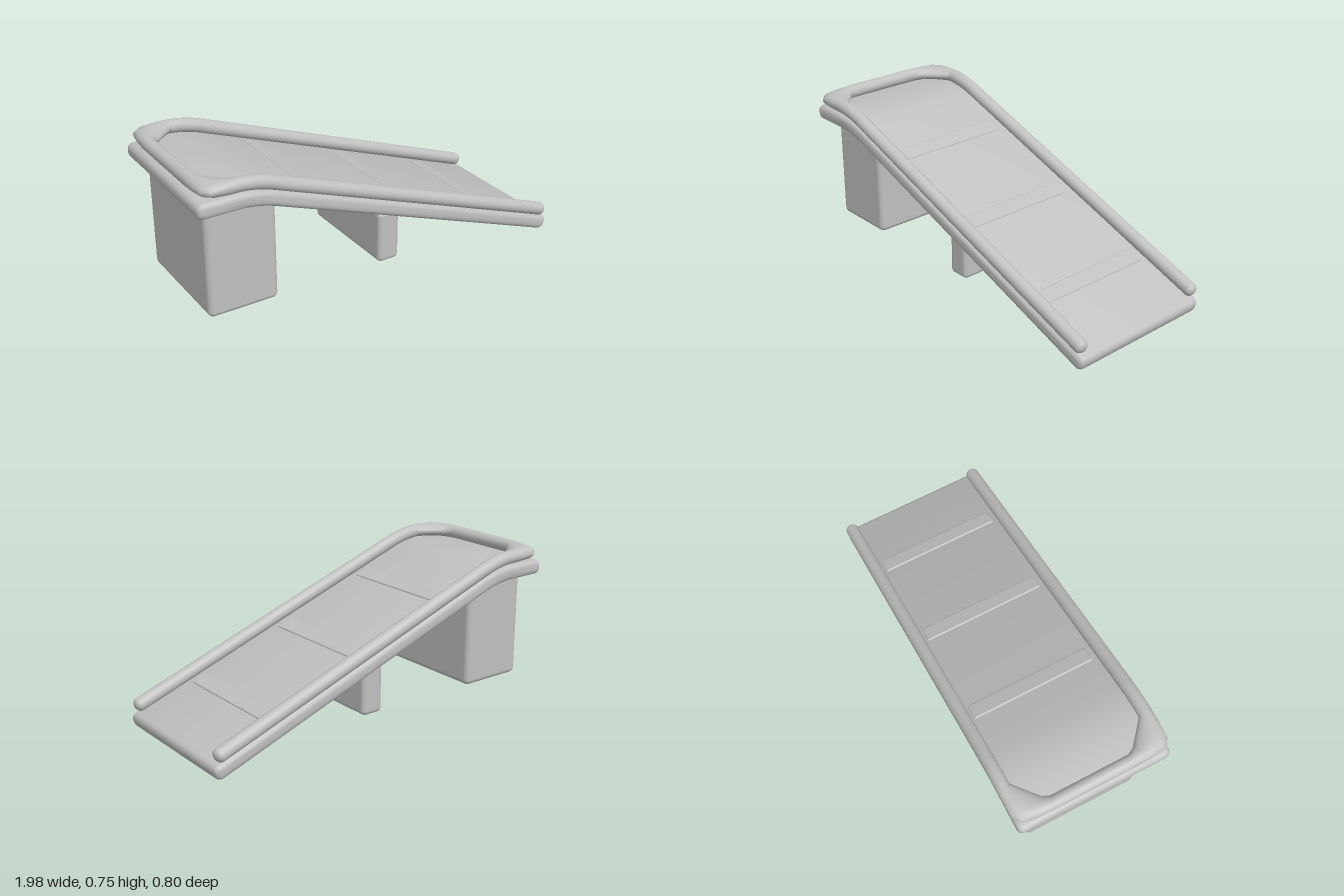
import * as THREE from 'three';
import { toCreasedNormals } from 'three/addons/utils/BufferGeometryUtils.js';
import { RoundedBoxGeometry } from 'three/addons/geometries/RoundedBoxGeometry.js';

const SLOPE = 0.364;
const TILT = Math.atan(SLOPE);

// Height of a level line that bends smoothly into the slope near x = bend
function bentY(x, level, bend, w = 0.1) {
  const d = x - bend;
  const run = d < -w ? 0 : d > w ? d : (d + w) ** 2 / (4 * w);
  return level - SLOPE * run;
}

// Direction square to the bent line, in the xy plane
function bentNormal(x, bend, w = 0.1) {
  const k = SLOPE * THREE.MathUtils.clamp((x - bend + w) / (2 * w), 0, 1);
  return new THREE.Vector2(k, 1).normalize();
}

// Bent slab with rounded edges, extruded across z
function deckGeometry() {
  const bevel = 0.025, r = 0.006, half = 0.0125, level = 0.6525, bend = -0.707;
  const pts = [];
  const corner = (x, side, start) => {
    const n = bentNormal(x, bend), o = side * (half - r);
    for (let i = 0; i <= 3; i++) {
      const a = start + (i / 3) * Math.PI / 2;
      pts.push(new THREE.Vector2(x + n.x * o + r * Math.cos(a), bentY(x, level, bend) + n.y * o + r * Math.sin(a)));
    }
  };
  const along = (side) => {
    for (let i = 0; i <= 10; i++) {
      const x = bend + side * -1 * (-0.11 + 0.022 * i);
      const n = bentNormal(x, bend), o = side * half;
      pts.push(new THREE.Vector2(x + n.x * o, bentY(x, level, bend) + n.y * o));
    }
  };
  const left = -0.969, right = 0.943, q = Math.PI / 2;
  corner(left, -1, 2 * q);
  along(-1);
  corner(right, -1, 3 * q - TILT);
  corner(right, 1, -TILT);
  along(1);
  corner(left, 1, q);
  const geo = new THREE.ExtrudeGeometry(new THREE.Shape(pts), {
    depth: 0.73, bevelEnabled: true, bevelSize: bevel, bevelThickness: bevel, bevelSegments: 4,
  });
  geo.translate(0, 0, -0.365);
  return toCreasedNormals(geo, 0.62);
}

// U-shaped rail swept through stations of [inner x, inner z, outer x, outer z, scale]
function railGeometry() {
  const level = 0.732, bend = -0.72, r = 0.034, sides = 20;
  const half = [];
  const straight = (x, s = 1) => half.push([x, 0.33, x, 0.398, s]);
  for (let i = 0; i <= 6; i++) {
    const a = (i / 6) * Math.PI / 2;
    straight(0.965 - 0.025 * (1 - Math.cos(a)), Math.max(Math.sin(a), 0.001));
  }
  for (let i = 0; i <= 10; i++) straight(bend + 0.11 - 0.018 * i);
  half.push(
    [-0.79, 0.33, -0.86, 0.398, 1],
    [-0.83, 0.297, -0.935, 0.395, 1],
    [-0.875, 0.258, -0.97, 0.365, 1],
    [-0.905, 0.23, -0.982, 0.29, 1],
    [-0.92, 0.2, -0.985, 0.2, 1],
  );
  const mirrored = half.map(([a, b, c, d, s]) => [a, -b, c, -d, s]).reverse();
  const stations = [...half, ...mirrored];
  const pos = [], idx = [];
  stations.forEach(([xi, zi, xo, zo, s], i) => {
    const x = (xi + xo) / 2, z = (zi + zo) / 2, n = bentNormal(x, bend);
    for (let j = 0; j < sides; j++) {
      const a = (j / sides) * Math.PI * 2;
      const c = Math.cos(a) * s, u = Math.sin(a) * s * r;
      pos.push(x + c * (xo - xi) / 2 + u * n.x, bentY(x, level, bend) + u * n.y, z + c * (zo - zi) / 2);
      if (i < stations.length - 1) {
        const k = (j + 1) % sides, p = i * sides, q = p + sides;
        idx.push(p + j, p + k, q + j, p + k, q + k, q + j);
      }
    }
  });
  const geo = new THREE.BufferGeometry();
  geo.setAttribute('position', new THREE.Float32BufferAttribute(pos, 3));
  geo.setIndex(idx);
  geo.computeVertexNormals();
  return geo;
}

export function createModel() {
  const group = new THREE.Group();
  group.name = 'ramp';
  const grey = new THREE.MeshStandardMaterial({ color: 0xc0c0c0 });
  grey.name = 'grey';

  const add = (name, geo, x = 0, y = 0, z = 0) => {
    const mesh = new THREE.Mesh(geo, grey);
    mesh.name = name;
    mesh.position.set(x, y, z);
    group.add(mesh);
    return mesh;
  };

  add('deck', deckGeometry());
  add('rail', railGeometry());

  // Low cross strips on the slope
  [-0.387, 0.122, 0.63].forEach((x, i) => {
    const strip = add(`crossStrip${i + 1}`, new RoundedBoxGeometry(0.084, 0.03, 0.63, 3, 0.008),
      x, bentY(x, 0.69, -0.7) - 0.009, 0);
    strip.rotation.z = -TILT;
  });

  // Supports under the landing and the slope
  add('rearSupport', new RoundedBoxGeometry(0.355, 0.55, 0.61, 4, 0.028), -0.76, 0.338, 0);
  add('middleSupport', new RoundedBoxGeometry(0.118, 0.272, 0.6, 4, 0.024), 0.036, 0.2, 0);

  return group;
}
